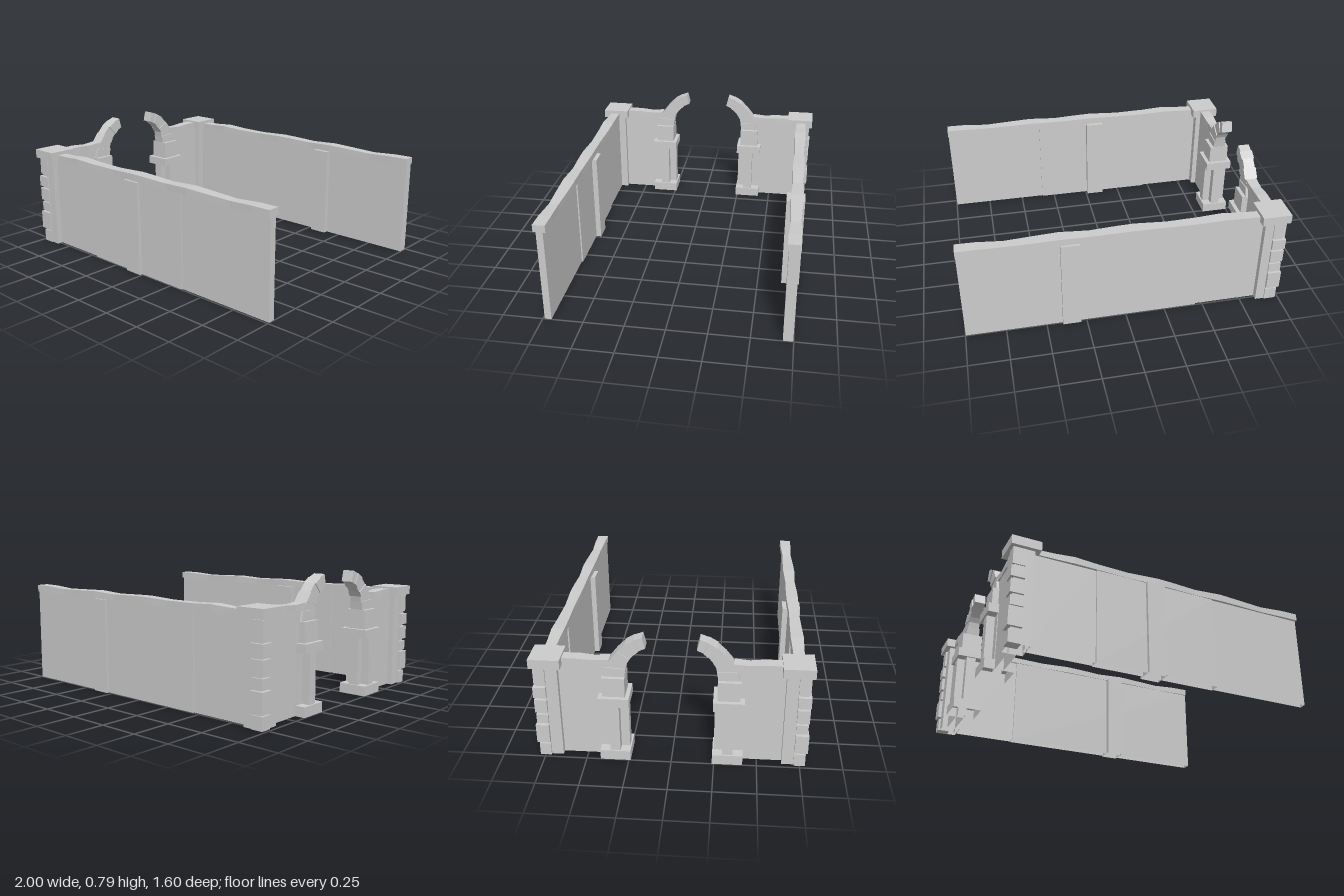
import * as THREE from 'three';
import { ConvexGeometry } from 'three/addons/geometries/ConvexGeometry.js';

const stone = new THREE.MeshStandardMaterial({ color: 0xcccccc, flatShading: true, side: THREE.DoubleSide });
const GATE_X = -0.91, POST_Z = 0.71, WALL_Z = 0.717, PIER_Z = 0.328;

function add(parent, name, geometry) {
  const mesh = new THREE.Mesh(geometry, stone);
  mesh.name = name;
  parent.add(mesh);
  return mesh;
}

// Box given by its limits; hollow ones have no underside
function box(parent, name, [x0, x1], [y0, y1], [z0, z1], hollow = false) {
  const g = new THREE.BoxGeometry(x1 - x0, y1 - y0, Math.abs(z1 - z0));
  if (hollow) {
    const index = Array.from(g.index.array);
    index.splice(18, 6);
    g.setIndex(index);
    g.clearGroups();
  }
  g.translate((x0 + x1) / 2, (y0 + y1) / 2, (z0 + z1) / 2);
  return add(parent, name, g);
}

const around = (c, r) => [c - r, c + r];

// Row of slightly uneven coping stones; stations are [position, half width, top]
function coping(parent, stations, place) {
  for (let i = 0; i < stations.length - 1; i++) {
    const pts = [];
    for (const [t, w, top] of [stations[i], stations[i + 1]])
      for (const side of [-w, w])
        for (const y of [0.6, top]) pts.push(place(t, side, y));
    add(parent, 'copingStone', new ConvexGeometry(pts));
  }
}

const LONG_COPING = [
  [-0.83, 0.032, 0.634], [-0.72, 0.034, 0.637], [-0.6, 0.039, 0.645], [-0.45, 0.036, 0.638],
  [-0.25, 0.031, 0.637], [-0.05, 0.038, 0.645], [0.05, 0.037, 0.643], [0.22, 0.032, 0.638],
  [0.4, 0.039, 0.646], [0.55, 0.036, 0.641], [0.72, 0.03, 0.636], [0.88, 0.037, 0.645], [1, 0.038, 0.646],
];
const SHORT_COPING = [[0.63, 0.034, 0.645], [0.53, 0.036, 0.645], [0.44, 0.032, 0.638], [0.35, 0.035, 0.645]];

// Corner stones: bottom, top, outward reach
const QUOINS = [
  [0, 0.08, 0.072], [0.095, 0.215, 0.082], [0.225, 0.285, 0.074],
  [0.3, 0.385, 0.078], [0.4, 0.47, 0.08], [0.485, 0.595, 0.072],
];

// Broken arch: joints as [outer z, outer y, inner z, inner y]
const JOINTS = [
  [0.388, 0.54, 0.265, 0.54], [0.375, 0.6, 0.257, 0.59], [0.345, 0.645, 0.25, 0.625],
  [0.302, 0.7, 0.232, 0.655], [0.258, 0.745, 0.205, 0.685], [0.208, 0.775, 0.18, 0.708],
  [0.16, 0.793, 0.143, 0.725],
];

// Long side wall with thicker middle, pilaster and coping
function longWall(s, panels, pilaster) {
  const wall = new THREE.Group();
  wall.name = 'longWall';
  for (const [x0, x1, half] of panels)
    box(wall, 'wallPanel', [x0, x1], [0, 0.6], around(s * WALL_Z, half), true);
  box(wall, 'pilaster', pilaster, [0, 0.6], around(s * POST_Z, 0.057), true);
  coping(wall, LONG_COPING, (t, side, y) => new THREE.Vector3(t, y, s * WALL_Z + side));
  return wall;
}

function cornerPost(s) {
  const post = new THREE.Group();
  post.name = 'cornerPost';
  box(post, 'postShaft', around(GATE_X, 0.06), [0, 0.6], around(s * POST_Z, 0.065), true);
  for (const [y0, y1, r] of QUOINS)
    box(post, 'quoin', [GATE_X - r, GATE_X + 0.004], [y0, y1], [s * (POST_Z + 0.005), s * (POST_Z + r)]);
  box(post, 'postCap', around(GATE_X, 0.09), [0.6, 0.657], around(s * POST_Z, 0.09));
  return post;
}

function gateHalf(s) {
  const gate = new THREE.Group();
  gate.name = 'gateHalf';
  const z = s * PIER_Z;

  // Short wall between post and pier
  box(gate, 'shortWall', around(GATE_X, 0.026), [0, 0.6], [s * 0.66, s * 0.37], true);
  coping(gate, SHORT_COPING, (t, side, y) => new THREE.Vector3(GATE_X + side, y, s * t));

  // Pier with a cross-shaped shaft
  box(gate, 'pierBase', around(GATE_X, 0.09), [0, 0.062], around(z, 0.089), true);
  box(gate, 'pierShaft', around(GATE_X, 0.03), [0.062, 0.365], around(z, 0.08));
  box(gate, 'pierShaft', around(GATE_X, 0.08), [0.062, 0.365], around(z, 0.03));
  box(gate, 'pierCapital', around(GATE_X, 0.09), [0.363, 0.42], around(z, 0.089));
  box(gate, 'springerBlock', around(GATE_X, 0.065), [0.42, 0.54], around(z, 0.065));

  // Arch stones of alternating width
  for (let i = 0; i < JOINTS.length - 1; i++) {
    const w = i % 2 ? 0.036 : 0.042;
    const pts = [];
    for (const [oz, oy, iz, iy] of [JOINTS[i], JOINTS[i + 1]])
      for (const x of [GATE_X - w, GATE_X + w])
        pts.push(new THREE.Vector3(x, oy, s * oz), new THREE.Vector3(x, iy, s * iz));
    add(gate, 'archStone', new ConvexGeometry(pts));
  }
  return gate;
}

export function createModel() {
  const model = new THREE.Group();
  model.name = 'ruinedGateway';
  const thin = 0.021, thick = 0.03;
  model.add(longWall(1, [[-0.87, -0.455, thin], [-0.455, 0.34, thick], [0.34, 0.998, thin]], [-0.13, -0.01]));
  model.add(longWall(-1, [[-0.87, -0.455, thin], [-0.455, 0.998, thick]], [0.285, 0.4]));
  for (const s of [1, -1]) model.add(cornerPost(s), gateHalf(s));
  return model;
}
